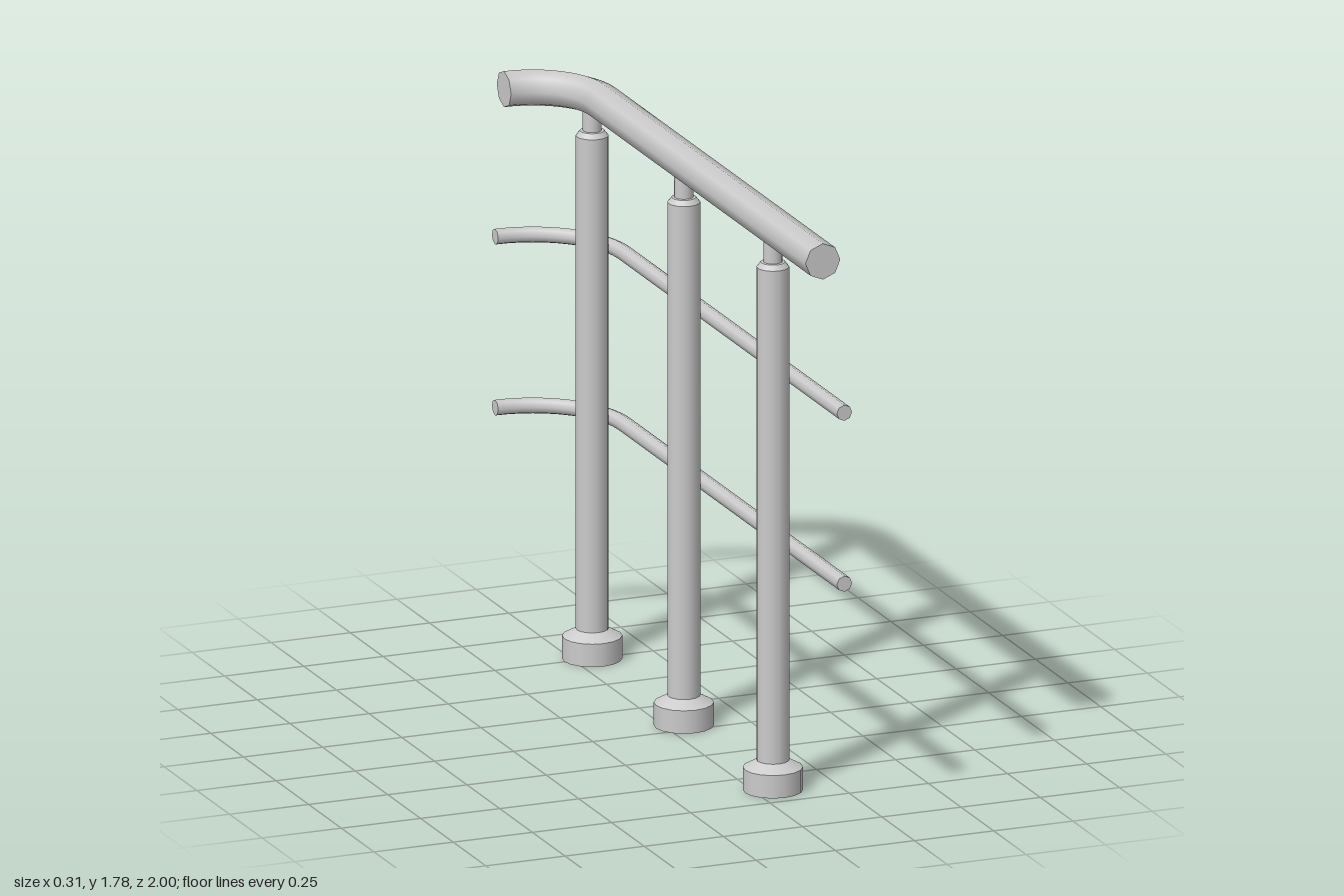
import * as THREE from 'three';

const material = new THREE.MeshStandardMaterial({ color: 0xcccccc, side: THREE.DoubleSide });

// Shared centre of the quarter-turn bends, and the straight front end
const BEND_X = -0.156, BEND_Z = -0.688, FRONT_Z = 1;

function addMesh(group, name, geometry, x, y, z) {
  const mesh = new THREE.Mesh(geometry, material);
  mesh.name = name;
  mesh.position.set(x, y, z);
  group.add(mesh);
}

// Straight bar along z that turns a quarter circle towards -x at the back
function createRail(name, y, radius, bendRadius) {
  const rail = new THREE.Group();
  rail.name = name;
  const x = BEND_X + bendRadius;
  const length = FRONT_Z - BEND_Z;
  const sides = 8;
  addMesh(rail, 'straightBar', new THREE.CylinderGeometry(radius, radius, length, sides, 1, true).rotateX(Math.PI / 2),
    x, y, (FRONT_Z + BEND_Z) / 2);
  addMesh(rail, 'bend', new THREE.TorusGeometry(bendRadius, radius, sides, 12, Math.PI / 2).rotateX(-Math.PI / 2),
    BEND_X, y, BEND_Z);
  addMesh(rail, 'frontCap', new THREE.CircleGeometry(radius, sides), x, y, FRONT_Z);
  addMesh(rail, 'backCap', new THREE.CircleGeometry(radius, sides).rotateY(-Math.PI / 2),
    BEND_X, y, BEND_Z - bendRadius);
  return rail;
}

// Post made of stacked open rings: [name, bottom y, top y, bottom radius, top radius]
const POST_SECTIONS = [
  ['baseCollar', 0, 0.07, 0.088, 0.088],
  ['baseBevel', 0.07, 0.092, 0.088, 0.048],
  ['shaft', 0.092, 1.6, 0.048, 0.048],
  ['shoulder', 1.6, 1.615, 0.048, 0.036],
  ['shoulderTop', 1.615, 1.616, 0.036, 0.028],
  ['neck', 1.616, 1.69, 0.028, 0.028],
];

function createPost(z) {
  const post = new THREE.Group();
  post.name = 'post';
  for (const [name, y0, y1, r0, r1] of POST_SECTIONS) {
    addMesh(post, name, new THREE.CylinderGeometry(r1, r0, y1 - y0, 16, 1, true), 0, (y0 + y1) / 2, 0);
  }
  post.position.set(0.058, 0, z);
  return post;
}

export function createModel() {
  const model = new THREE.Group();
  model.name = 'railing';
  for (const z of [0.632, -0.05, -0.752]) model.add(createPost(z));
  model.add(createRail('handrail', 1.721, 0.055, 0.22));
  model.add(createRail('upperRail', 1.25, 0.024, 0.288));
  model.add(createRail('lowerRail', 0.727, 0.024, 0.288));
  return model;
}
